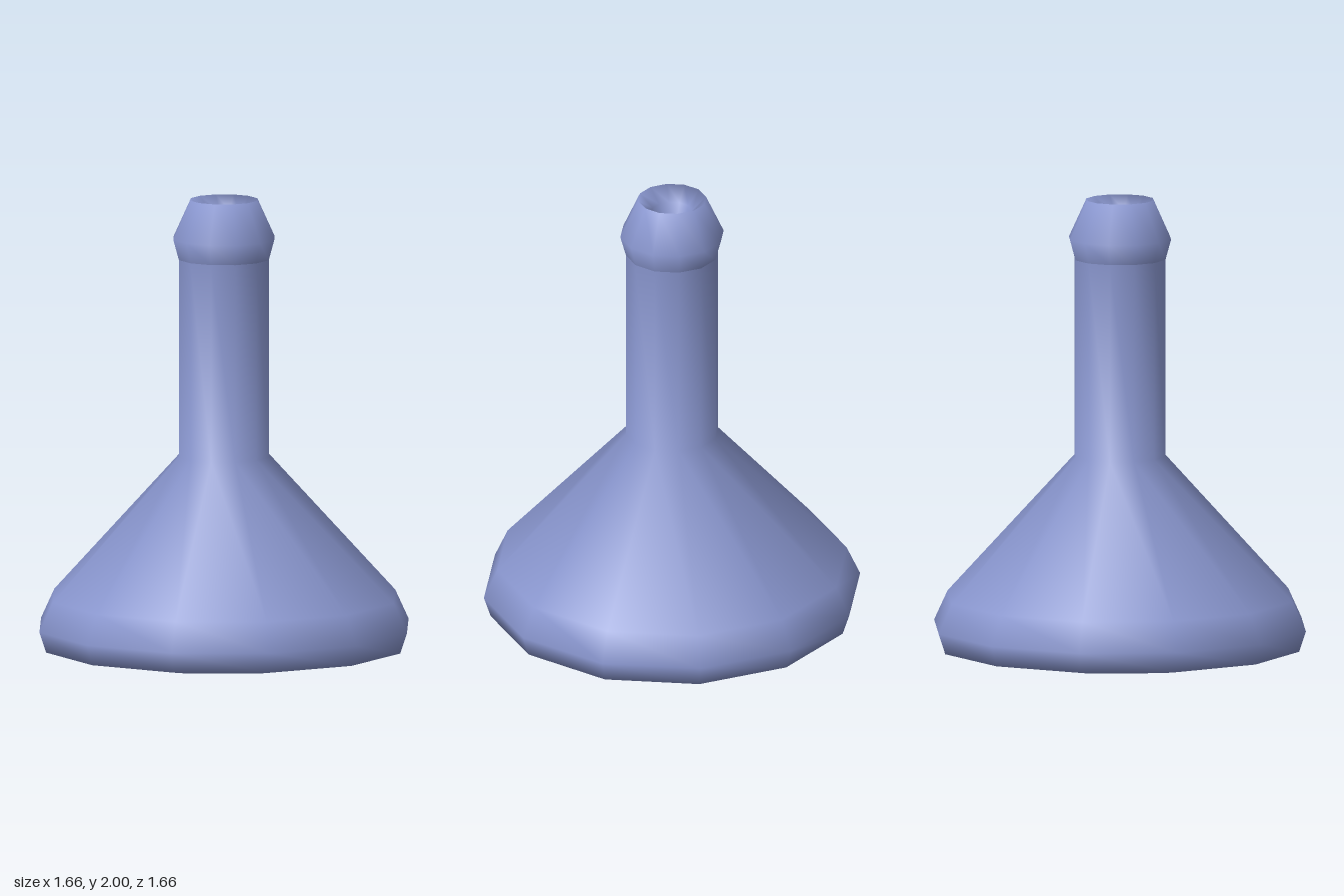
import * as THREE from 'three';

const SIDES = 12;

export function createModel() {
  const group = new THREE.Group();
  group.name = 'flask';
  const material = new THREE.MeshStandardMaterial({ color: 0x8794cc });

  // Turns a profile of [radius, height] pairs into a smooth twelve-sided part
  const turned = (name, profile) => {
    const points = profile.map(([r, y]) => new THREE.Vector2(r, y));
    const mesh = new THREE.Mesh(new THREE.LatheGeometry(points, SIDES), material);
    mesh.name = name;
    group.add(mesh);
  };

  // Closed base, rounded foot, conical shoulder and straight neck
  turned('body', [
    [0, 0], [0.62, 0], [0.8, 0.03], [0.83, 0.12], [0.77, 0.25],
    [0.203, 0.87], [0.203, 1.74],
  ]);

  // Flared lip that folds over the rim into a funnel
  turned('lip', [
    [0.203, 1.74], [0.228, 1.83], [0.15, 2], [0.09, 1.94], [0.05, 1.83],
  ]);

  // Narrow bore with a flat floor
  turned('bore', [[0.05, 1.83], [0.05, 1.76]]);
  turned('boreFloor', [[0.05, 1.76], [0, 1.76]]);

  return group;
}
